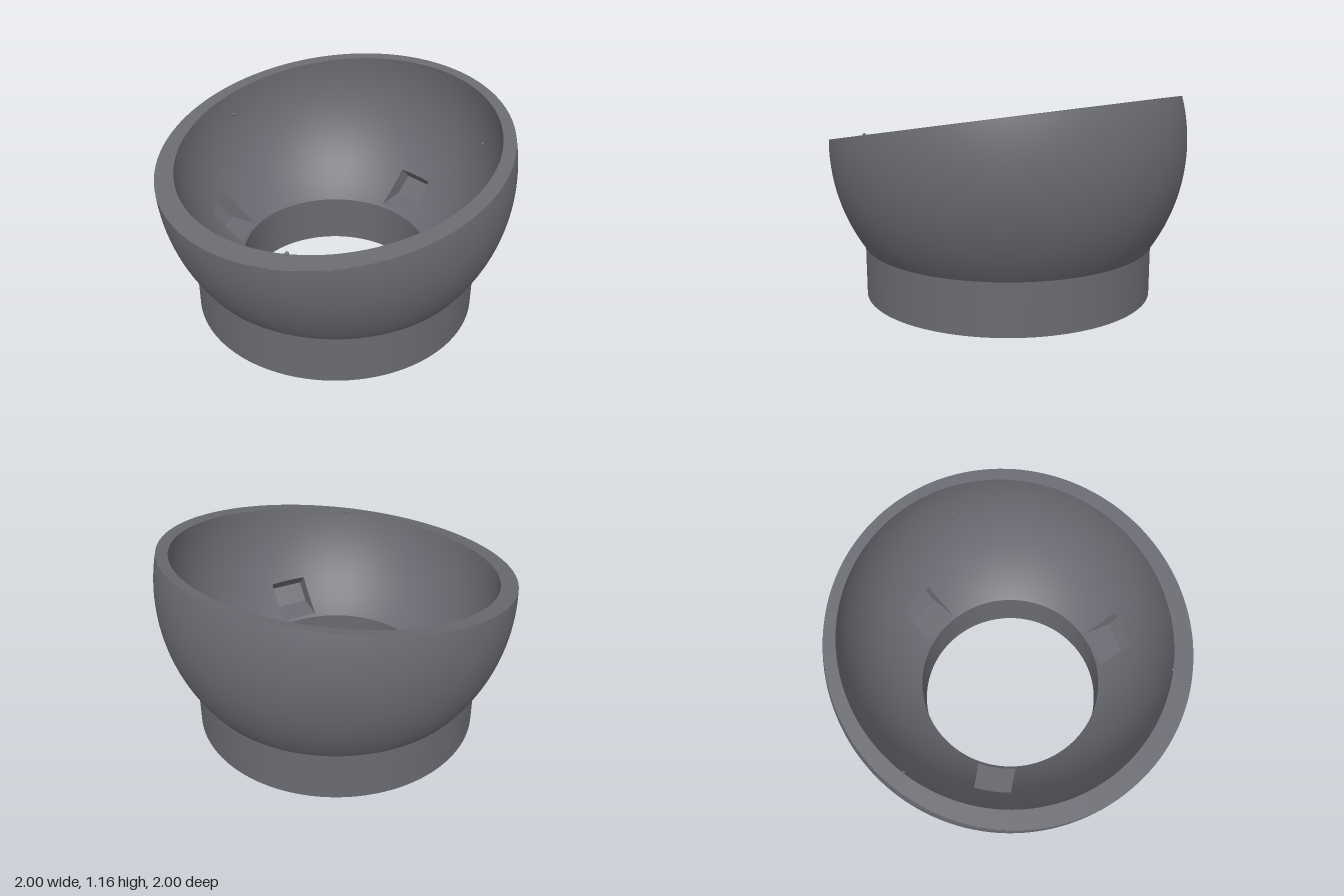
import * as THREE from 'three';

const INNER = { cy: 1.022, R: 0.907 };  // bowl cavity sphere
const OUTER = { cy: 0.862, R: 1 };      // bowl outside sphere
const HOLE = 0.537, BASE = 0.82;
const RIM_Y = 0.995, RIM_SLOPE = 0.177; // slanted cut, higher at the back
const PW = 0.11, PR0 = 0.553, PR1 = 0.73; // pocket half width, near and far radius
const COLS = 48, PCOLS = 6, PROWS = 6, ROWS = 36;

const lerp = THREE.MathUtils.lerp;

// angle from the sphere's bottom at which its radius is r
const polar = (s, r) => Math.asin(r / s.R);

// angle from the sphere's bottom at which it meets the slanted cut; phi = 0 is the back
function rimPolar(s, phi) {
  const k = RIM_SLOPE * Math.cos(phi);
  return Math.acos((s.cy - RIM_Y) / (s.R * Math.hypot(1, k))) + Math.atan(k);
}

function onSphere(s, t, phi) {
  const r = s.R * Math.sin(t);
  return new THREE.Vector3(r * Math.sin(phi), s.cy - s.R * Math.cos(t), -r * Math.cos(phi));
}

// surface from a grid of points, with optional missing cells
function grid(nu, nv, point, { skip = () => false, sphere = null, sign = 1 } = {}) {
  const pos = [], idx = [];
  for (let j = 0; j <= nv; j++)
    for (let i = 0; i <= nu; i++) pos.push(...point(i, j).toArray());
  for (let j = 0; j < nv; j++)
    for (let i = 0; i < nu; i++) {
      if (skip(i, j)) continue;
      const a = j * (nu + 1) + i, c = a + nu + 1;
      idx.push(a, a + 1, c + 1, a, c + 1, c);
    }
  const g = new THREE.BufferGeometry();
  g.setAttribute('position', new THREE.Float32BufferAttribute(pos, 3));
  g.setIndex(idx);
  if (!sphere) {
    const flat = g.toNonIndexed();
    flat.computeVertexNormals();
    return flat;
  }
  const normals = [];
  for (let i = 0; i < pos.length; i += 3)
    normals.push(sign * pos[i] / sphere.R, sign * (pos[i + 1] - sphere.cy) / sphere.R, sign * pos[i + 2] / sphere.R);
  g.setAttribute('normal', new THREE.Float32BufferAttribute(normals, 3));
  return g;
}

// column angle within a third of the bowl, with columns following the pocket's straight sides
const sideCols = (COLS - PCOLS) / 2;
function columnAngle(i, r) {
  const a = Math.asin(PW / Math.min(r, PR1));
  if (i < sideCols) return lerp(-Math.PI / 3, -a, i / sideCols);
  if (i > sideCols + PCOLS) return lerp(a, Math.PI / 3, (i - sideCols - PCOLS) / sideCols);
  return lerp(-a, a, (i - sideCols) / PCOLS);
}

const t0 = polar(INNER, PR0), t1 = polar(INNER, PR1);

function cavityThird(turn) {
  const point = (i, j) => {
    const t = j === 0 ? polar(INNER, HOLE) : lerp(t0, t1, Math.min(1, (j - 1) / PROWS));
    const phi = turn + columnAngle(i, INNER.R * Math.sin(t));
    const up = Math.max(0, (j - 1 - PROWS) / (ROWS - 1 - PROWS));
    return onSphere(INNER, lerp(t, rimPolar(INNER, phi), up), phi);
  };
  const skip = (i, j) => j >= 1 && j <= PROWS && i >= sideCols && i < sideCols + PCOLS;
  return grid(COLS, ROWS, point, { skip, sphere: INNER, sign: -1 });
}

export function createModel() {
  const model = new THREE.Group();
  const grey = new THREE.MeshStandardMaterial({ color: 0x6a6a72 });
  grey.name = 'dark grey';
  const add = (name, geometry, parent = model) => {
    const mesh = new THREE.Mesh(geometry, grey);
    mesh.name = name;
    parent.add(mesh);
    return mesh;
  };

  // foot ring
  const foot = (name, ...pts) =>
    add(name, new THREE.LatheGeometry(pts.map(p => new THREE.Vector2(...p)), 144));
  const holeTop = INNER.cy - INNER.R * Math.cos(polar(INNER, HOLE));
  const bowlBottom = OUTER.cy - OUTER.R * Math.cos(polar(OUTER, BASE));
  foot('footOutside', [BASE, 0], [BASE, bowlBottom]);
  foot('footUnderside', [HOLE, 0], [BASE, 0]);
  foot('footHole', [HOLE, holeTop], [HOLE, 0]);

  // bowl outside, wound the other way round so that it faces out
  const N = 144;
  add('bowlOutside', grid(N, 32, (i, j) => {
    const phi = -i / N * Math.PI * 2;
    return onSphere(OUTER, lerp(polar(OUTER, BASE), rimPolar(OUTER, phi), j / 32), phi);
  }, { sphere: OUTER }));

  // slanted rim, with the same columns as the cavity
  add('rim', grid(N, 1, (i, j) => {
    const s = j ? OUTER : INNER;
    const phi = Math.floor(i / COLS) * Math.PI * 2 / 3 + columnAngle(i % COLS, PR1);
    return onSphere(s, rimPolar(s, phi), phi);
  }));

  // pocket cross-section, as distance from the axis and height
  const floorBack = [0.70, 0.32], ceilingBack = [0.79, 0.41];
  const arc = [];
  for (let j = PROWS; j >= 0; j--) {
    const t = lerp(t0, t1, j / PROWS), r = INNER.R * Math.sin(t);
    arc.push([Math.sqrt(r * r - PW * PW), INNER.cy - INNER.R * Math.cos(t)]);
  }
  const pocketSide = (dir) => {
    const shape = new THREE.Shape([floorBack, ceilingBack, ...arc]
      .map(([d, y]) => new THREE.Vector2(d * dir, y)));
    return new THREE.ShapeGeometry(shape).rotateY(dir * Math.PI / 2).translate(-dir * PW, 0, 0);
  };
  const pocketWalls = grid(PCOLS, 3, (i, j) => {
    if (j === 0 || j === 3) {
      const t = j ? t1 : t0;
      return onSphere(INNER, t, columnAngle(sideCols + i, INNER.R * Math.sin(t)));
    }
    const [d, y] = j === 1 ? floorBack : ceilingBack;
    return new THREE.Vector3(lerp(-PW, PW, i / PCOLS), y, -d);
  });

  // three matching thirds: cavity, pocket and a tiny stud below the rim
  for (let k = 0; k < 3; k++) {
    const turn = k * Math.PI * 2 / 3;
    add('bowlInside', cavityThird(turn));

    const pocket = new THREE.Group();
    pocket.name = 'pocket';
    pocket.rotation.y = -turn;
    add('pocketWalls', pocketWalls, pocket);
    add('pocketLeftSide', pocketSide(-1), pocket);
    add('pocketRightSide', pocketSide(1), pocket);
    model.add(pocket);

    const a = Math.PI + turn;
    add('stud', new THREE.SphereGeometry(0.011, 12, 8))
      .position.set(0.892 * Math.cos(a), 0.86, 0.892 * Math.sin(a));
  }
  return model;
}
